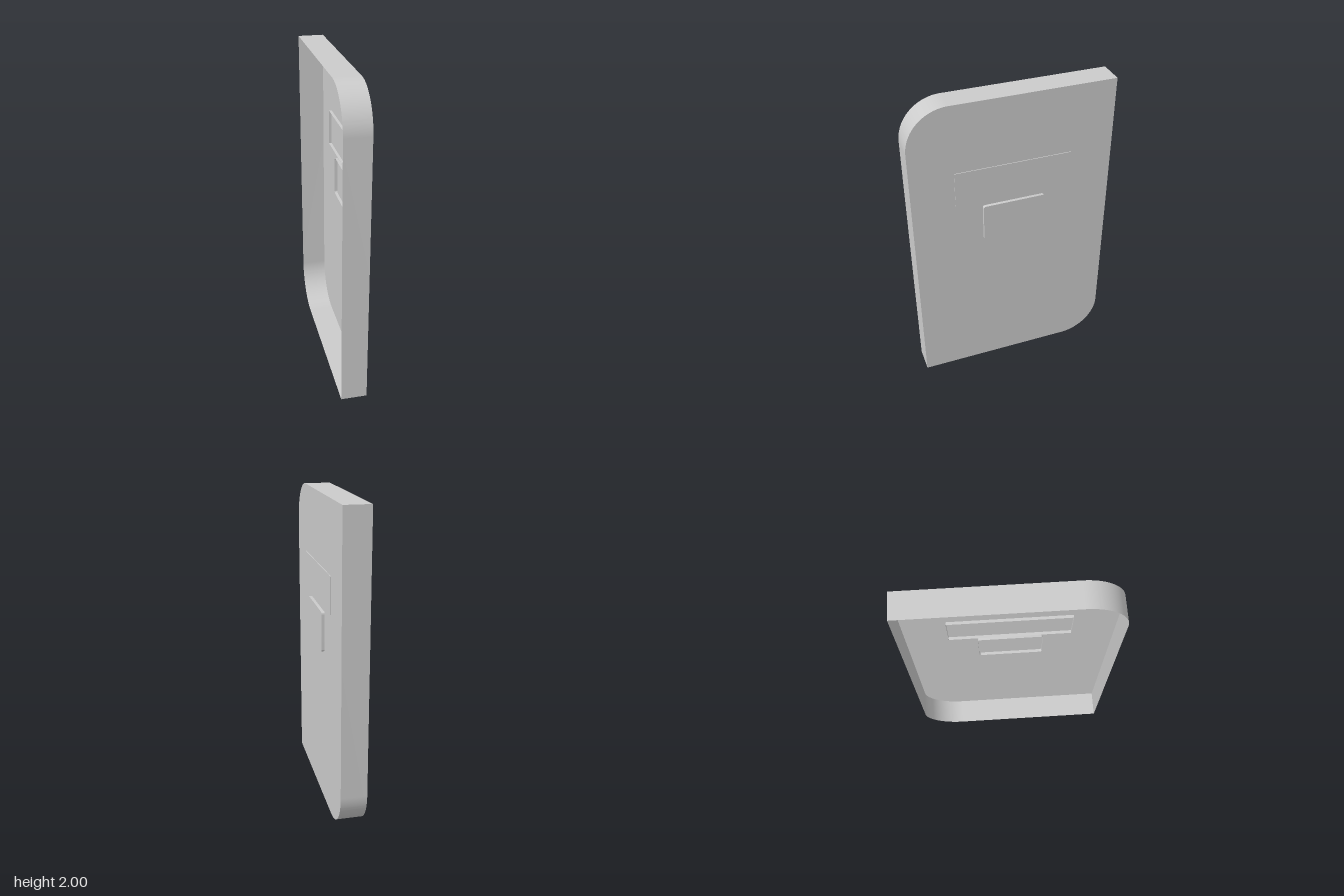
import * as THREE from 'three';
import { mergeGeometries, toCreasedNormals } from 'three/addons/utils/BufferGeometryUtils.js';

const material = new THREE.MeshStandardMaterial({ color: 0xcccccc, side: THREE.DoubleSide });

// Rectangle whose four corner radii (bl, br, tr, tl) may differ; 0 is a sharp corner.
function outline(x0, y0, x1, y1, [bl, br, tr, tl]) {
  const s = new THREE.Shape();
  const corner = (cx, cy, r, start) => {
    if (r) s.absarc(cx, cy, r, start, start + Math.PI / 2, false);
    else s.lineTo(cx, cy);
  };
  s.moveTo(x0 + bl, y0);
  corner(x1 - br, y0 + br, br, -Math.PI / 2);
  corner(x1 - tr, y1 - tr, tr, 0);
  corner(x0 + tl, y1 - tl, tl, Math.PI / 2);
  corner(x0 + bl, y0 + bl, bl, Math.PI);
  return s;
}

// Thin tray: a face at x = front with a rim running back to x = back, open behind.
function tray(name, shape, back, front) {
  const segments = 20;
  const pts = shape.getPoints(segments);
  const rim = [];
  pts.forEach((p, i) => {
    const q = pts[(i + 1) % pts.length];
    if (p.distanceTo(q) < 1e-6) return;
    rim.push(p.x, p.y, back, q.x, q.y, back, q.x, q.y, front);
    rim.push(p.x, p.y, back, q.x, q.y, front, p.x, p.y, front);
  });
  let wall = new THREE.BufferGeometry();
  wall.setAttribute('position', new THREE.Float32BufferAttribute(rim, 3));
  wall = toCreasedNormals(wall, 0.5);

  const face = new THREE.ShapeGeometry(shape, segments).toNonIndexed();
  face.deleteAttribute('uv');
  face.translate(0, 0, front);

  const geometry = mergeGeometries([wall, face]);
  geometry.rotateY(Math.PI / 2); // face towards +x
  const mesh = new THREE.Mesh(geometry, material);
  mesh.name = name;
  return mesh;
}

export function createModel() {
  const group = new THREE.Group();
  group.name = 'shield';

  // Main body with two opposite rounded corners
  group.add(tray('shieldBody', outline(-0.64, 0, 0.64, 2, [0, 0.26, 0, 0.26]), -0.095, 0.07));
  // Wide viewing window
  group.add(tray('viewingWindow', outline(-0.37, 1.33, 0.375, 1.56, [0, 0, 0, 0]), 0.052, 0.075));
  // Small plate below it
  const r = 0.014;
  group.add(tray('namePlate', outline(-0.2, 1.04, 0.2, 1.295, [r, r, r, r]), 0.052, 0.09));

  return group;
}
